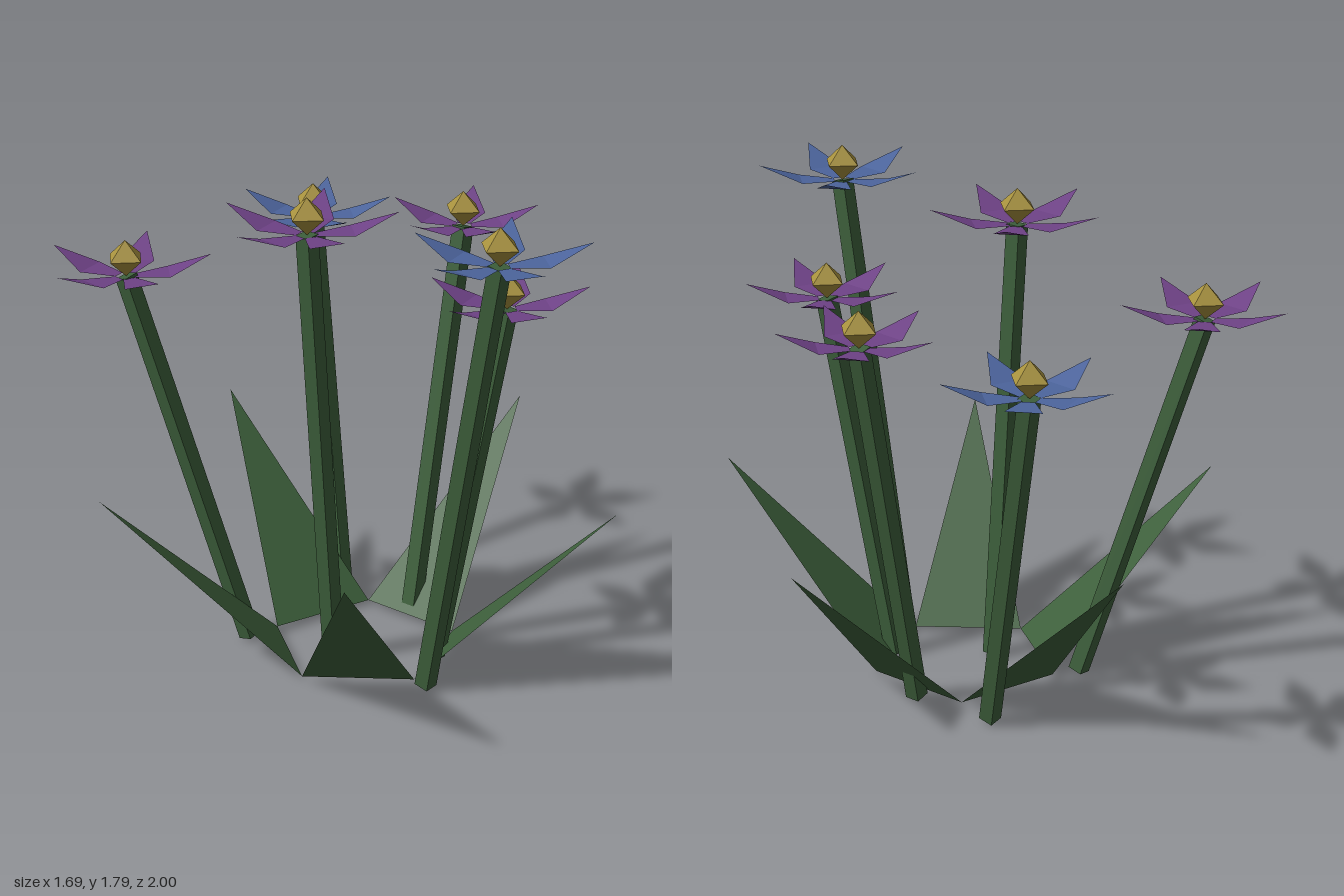
import * as THREE from 'three';

const material = (name, color, side = THREE.FrontSide) => {
  const m = new THREE.MeshStandardMaterial({ color, side });
  m.name = name;
  return m;
};

// flat-shaded surface from a list of triangles (three points each)
function facets(points) {
  const g = new THREE.BufferGeometry();
  g.setAttribute('position', new THREE.Float32BufferAttribute(points.flat(), 3));
  g.computeVertexNormals();
  return g;
}

// five petals: flat near the middle, bent upward to a pointed tip
function petalGeometry(radius) {
  const points = [];
  for (let i = 0; i < 5; i++) {
    const a = THREE.MathUtils.degToRad(-29.5 + i * 72);
    const at = (r, w, y) => [
      r * Math.cos(a) - w * Math.sin(a), y, r * Math.sin(a) + w * Math.cos(a)];
    const b0 = at(0.03, -0.022, 0), b1 = at(0.03, 0.022, 0);
    const m0 = at(0.5 * radius, -0.062, 0.008), m1 = at(0.5 * radius, 0.062, 0.008);
    const tip = at(radius, 0, 0.066);
    points.push(b0, b1, m1, b0, m1, m0, m0, m1, tip);
  }
  return facets(points);
}

export function createModel() {
  const group = new THREE.Group();
  const stemGreen = material('stem green', 0x3d5f3b);
  const leafGreen = material('leaf green', 0x3d5f3b, THREE.DoubleSide);
  const purple = material('petal purple', 0x6e4286, THREE.DoubleSide);
  const blue = material('petal blue', 0x4c649c, THREE.DoubleSide);
  const gold = material('centre gold', 0xa8923e);

  const add = (parent, name, geometry, mat) => {
    const mesh = new THREE.Mesh(geometry, mat);
    mesh.name = name;
    parent.add(mesh);
    return mesh;
  };

  // ring of five flat leaves leaning outward from a pentagon
  const cx = -0.092;
  for (let i = 0; i < 5; i++) {
    const a = i * Math.PI * 0.4;
    const at = (r, t, y) => [cx + r * Math.cos(t), y, r * Math.sin(t)];
    add(group, 'leaf', facets([
      at(0.335, a + Math.PI / 5, 0.015),
      at(0.932, a, 0.68),
      at(0.335, a - Math.PI / 5, 0.015),
    ]), leafGreen);
  }

  // flowers: head position, stem foot (x, z), petal length, colour
  const flowers = [
    { head: [-0.51, 1.37, -0.71], foot: [-0.30, -0.36], size: 0.297, color: purple },
    { head: [0.435, 1.35, -0.67], foot: [0.20, -0.34], size: 0.29, color: blue },
    { head: [-0.34, 1.62, -0.03], foot: [-0.22, -0.03], size: 0.31, color: purple },
    { head: [0.55, 1.415, -0.06], foot: [0.225, -0.03], size: 0.275, color: purple },
    { head: [0.09, 1.355, 0.48], foot: [0.0, 0.255], size: 0.285, color: purple },
    { head: [-0.28, 1.66, 0.72], foot: [-0.19, 0.365], size: 0.303, color: blue },
  ];
  const up = new THREE.Vector3(0, 1, 0);
  for (const { head, foot, size, color } of flowers) {
    const flower = new THREE.Group();
    flower.name = 'flower';
    group.add(flower);

    // square stem leaning from foot to head
    const top = new THREE.Vector3(...head);
    const base = new THREE.Vector3(foot[0], 0.009, foot[1]);
    const dir = top.clone().sub(base);
    const stem = add(flower, 'stem', new THREE.BoxGeometry(0.055, dir.length(), 0.055), stemGreen);
    stem.position.copy(base).add(top).multiplyScalar(0.5);
    stem.quaternion.setFromUnitVectors(up, dir.normalize());

    add(flower, 'petals', petalGeometry(size), color).position.copy(top);

    // eight-sided flower centre
    const centre = add(flower, 'flowerCentre', new THREE.OctahedronGeometry(0.074), gold);
    centre.scale.y = 0.88;
    centre.position.set(top.x, top.y + 0.065, top.z);
  }
  return group;
}
